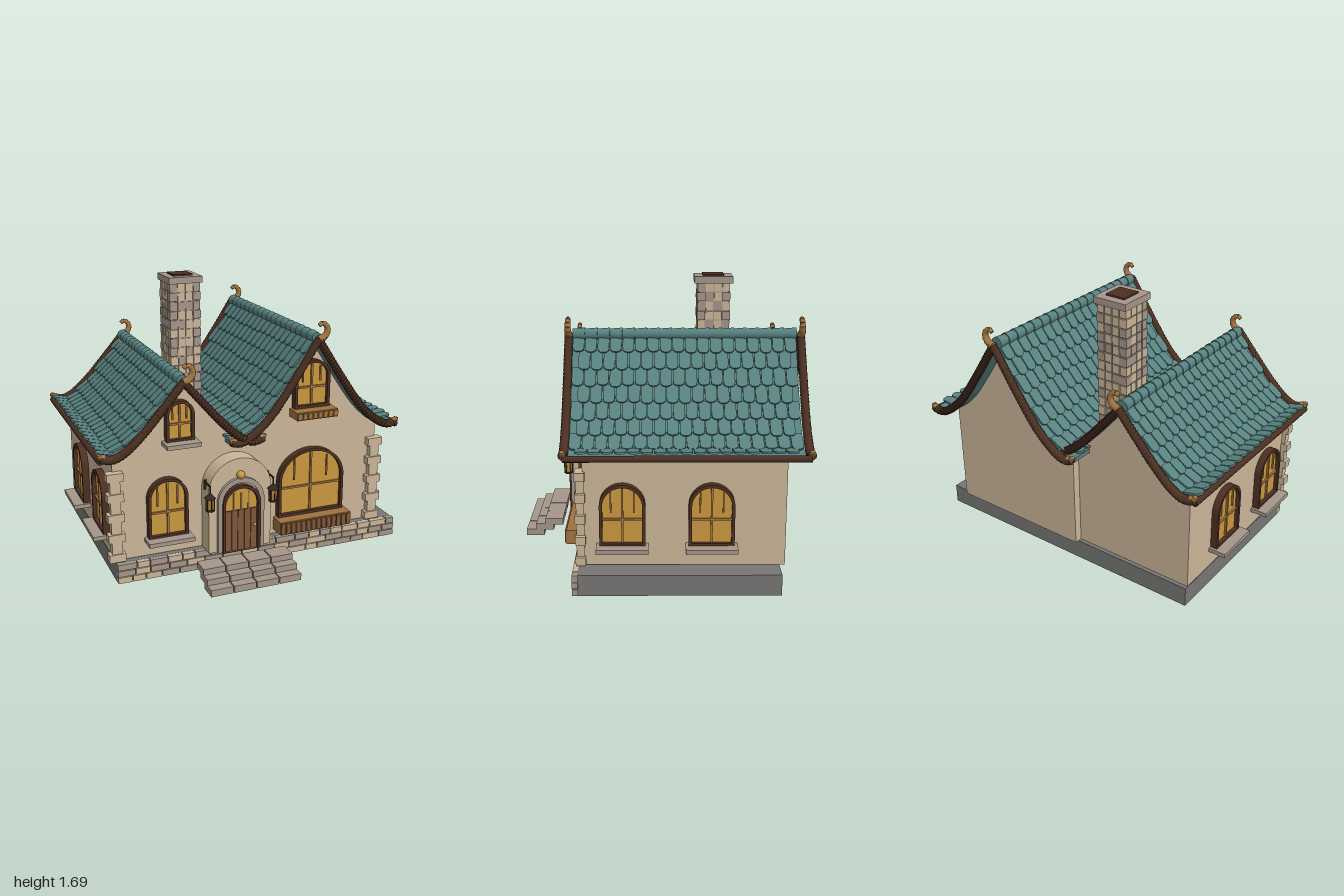
import * as THREE from 'three';
import { mergeGeometries } from 'three/addons/utils/BufferGeometryUtils.js';

const mat = (name, color) => new THREE.MeshStandardMaterial({ name, color });
const V = (x, y, z) => new THREE.Vector3(x, y, z);

export function createModel() {
  const M = {
    plaster: mat('plaster', 0xcbb699), stone: mat('stone', 0xa5968a), roof: mat('roofTeal', 0x588280),
    dark: mat('darkWood', 0x4c3022), wood: mat('doorWood', 0x80563a), tan: mat('tanWood', 0xa0733f),
    glass: mat('amberGlass', 0xca983e), slab: mat('slabGrey', 0x777675), iron: mat('iron', 0x352820),
  };
  const root = new THREE.Group();
  root.name = 'cottage';
  const add = (parent, name, geo, material, x = 0, y = 0, z = 0) => {
    const m = new THREE.Mesh(geo, material);
    m.name = name;
    m.position.set(x, y, z);
    parent.add(m);
    return m;
  };
  const box = (w, h, d, x = 0, y = 0, z = 0) => new THREE.BoxGeometry(w, h, d).translate(x, y, z);
  const extrude = (shape, depth) =>
    new THREE.ExtrudeGeometry(shape, { depth, bevelEnabled: false, curveSegments: 16 });
  let seed = 7;
  const rand = () => (seed = (seed * 16807) % 2147483647) / 2147483647;

  // Arched outline standing on y = b; a is the height of the curved top
  const arch = (w, h, a, b = 0, Type = THREE.Shape) => {
    const s = new Type();
    s.moveTo(-w / 2, b);
    s.lineTo(w / 2, b);
    s.lineTo(w / 2, h - a);
    s.absellipse(0, h - a, w / 2, a, 0, Math.PI, false);
    s.lineTo(-w / 2, b);
    return s;
  };
  const archRing = (w, h, a, t, depth, bottom = t) => {
    const s = arch(w, h, a);
    s.holes.push(arch(w - 2 * t, h - t, a - t, bottom, THREE.Path));
    return extrude(s, depth);
  };

  // Ringed rope of short tapered drums along a path
  const rope = (parent, name, curve, r0, r1, material) => {
    const n = Math.max(4, Math.round(curve.getLength() / 0.022));
    const p = curve.getSpacedPoints(n), parts = [];
    for (let i = 0; i < n; i++) {
      const r = r0 + (r1 - r0) * i / n, d = p[i + 1].clone().sub(p[i]);
      const g = new THREE.CylinderGeometry(r * 0.85, r, d.length() * 1.15, 10);
      g.applyQuaternion(new THREE.Quaternion().setFromUnitVectors(V(0, 1, 0), d.normalize()));
      const c = p[i].clone().lerp(p[i + 1], 0.5);
      parts.push(g.translate(c.x, c.y, c.z));
    }
    return add(parent, name, mergeGeometries(parts), material);
  };

  // Wings: wall, roof, ridge and rope trim
  const wings = [
    { name: 'leftWing', cx: -0.48, wall: 0.41, back: -0.67, roofBack: -0.775,
      prof: [[0, 1.215], [0.12, 1.075], [0.25, 0.93], [0.36, 0.835], [0.43, 0.805], [0.5, 0.82]], outer: -1 },
    { name: 'rightWing', cx: 0.372, wall: 0.473, back: -0.72, roofBack: -0.838,
      prof: [[0, 1.39], [0.17, 1.13], [0.31, 0.94], [0.43, 0.835], [0.5, 0.805], [0.56, 0.815]], outer: 1 },
  ];
  for (const w of wings) {
    const g = new THREE.Group();
    g.name = w.name;
    g.position.x = w.cx;
    root.add(g);
    const curve = (s, z) => new THREE.CatmullRomCurve3(w.prof.map(([d, y]) => V(s * d, y, z)));
    const pts = curve(1, 0).getPoints(30);

    // Gabled wall body
    const top = pts.filter(p => p.x < w.wall - 0.005).map(p => [p.x, p.y - 0.025]);
    top.push([w.wall, 0.775]);
    const s = new THREE.Shape();
    s.moveTo(-w.wall, 0.13);
    s.lineTo(w.wall, 0.13);
    [...top].reverse().forEach(([x, y]) => s.lineTo(x, y));
    top.slice(1).forEach(([x, y]) => s.lineTo(-x, y));
    add(g, 'walls', extrude(s, 0.44 - w.back), M.plaster, 0, 0, w.back);

    // Curved roof deck
    const z0 = w.roofBack + 0.03, z1 = 0.515, len = z1 - z0;
    const deck = new THREE.Shape();
    const line = [...[...pts].reverse().map(p => [-p.x, p.y]), ...pts.slice(1).map(p => [p.x, p.y])];
    line.forEach(([x, y], i) => (i ? deck.lineTo(x, y) : deck.moveTo(x, y)));
    [...line].reverse().forEach(([x, y]) => deck.lineTo(x, y - 0.025));
    add(g, 'roofDeck', extrude(deck, len), M.roof, 0, 0, z0);

    // Overlapping round-ended tiles
    const tiles = [], rows = w.outer > 0 ? 8 : 7, cols = 18, tw = len / cols;
    for (const side of [-1, 1]) {
      const c = curve(side, 0), L = c.getLength(), step = L / rows;
      for (let r = 0; r < rows; r++) {
        const u = r / rows, p = c.getPointAt(u);
        const t = c.getPointAt(Math.min(1, u + 1.1 / rows)).sub(p).normalize();
        const n = V(-t.y * side, t.x * side, 0);
        t.addScaledVector(n, 0.12).normalize();
        n.set(-t.y * side, t.x * side, 0);
        const basis = new THREE.Matrix4().makeBasis(t.clone().cross(n), t, n);
        const odd = r % 2;
        for (let i = 0; i < cols - odd; i++) {
          const hw = tw / 2 - 0.003, tl = Math.min(step * 1.22, L - u * L + 0.015) - rand() * 0.012;
          const sh = new THREE.Shape();
          sh.moveTo(-hw, 0);
          sh.lineTo(hw, 0);
          sh.lineTo(hw, tl - 0.03);
          sh.quadraticCurveTo(hw, tl, 0, tl);
          sh.quadraticCurveTo(-hw, tl, -hw, tl - 0.03);
          const geo = new THREE.ExtrudeGeometry(sh, { depth: 0.012, bevelEnabled: false, curveSegments: 3 });
          tiles.push(geo.applyMatrix4(basis).translate(p.x, p.y, z0 + (i + 0.5 + odd / 2) * tw));
        }
      }
    }
    add(g, 'roofTiles', mergeGeometries(tiles), M.roof);

    // Ridge caps
    const caps = [];
    for (let i = 0; i < cols; i++)
      caps.push(new THREE.CylinderGeometry(0.032, 0.038, tw, 14).rotateX(Math.PI / 2)
        .translate(0, w.prof[0][1] + 0.005, z0 + (i + 0.5) * tw));
    add(g, 'ridgeCaps', mergeGeometries(caps), M.roof);

    // Gable ropes, finials and eave beam
    const py = w.prof[0][1], ex = w.prof[5][0], ey = w.prof[5][1];
    for (const z of [0.54, w.roofBack]) {
      for (const side of [-1, 1]) {
        rope(g, 'gableTrim', curve(side, z), 0.025, 0.028, M.dark);
        const tip = new THREE.CatmullRomCurve3([V(side * (ex - 0.02), ey, z), V(side * ex, ey + 0.012, z), V(side * (ex + 0.005), ey + 0.025, z)]);
        rope(g, 'trimTip', tip, 0.026, 0.014, M.tan);
      }
      const hook = [[0, 0], [0.035, 0.015], [0.056, 0.05], [0.045, 0.085], [0.018, 0.098], [0, 0.085]];
      rope(g, 'finial', new THREE.CatmullRomCurve3(hook.map(([x, y]) => V(x, py + y, z))), 0.025, 0.013, M.tan);
    }
    add(g, 'eaveBeam', new THREE.CylinderGeometry(0.02, 0.02, 0.54 - w.roofBack, 8).rotateX(Math.PI / 2),
      M.dark, w.outer * ex, ey - 0.018, (0.54 + w.roofBack) / 2);
  }

  // Arched windows, with a stone sill or a slatted planter
  const windowAt = (x, y, z, ry, w, h, a, planter) => {
    const g = new THREE.Group();
    g.name = 'window';
    g.position.set(x, y, z);
    g.rotation.y = ry;
    root.add(g);
    const t = 0.018, bar = 0.012;
    add(g, 'frame', archRing(w, h, a, t, 0.045), M.dark);
    add(g, 'pane', extrude(arch(w - t, h - t / 2, a - t / 2, 0.005), 0.02), M.glass);
    add(g, 'glazingBars', mergeGeometries([
      box(bar, h - t, 0.012, 0, h / 2, 0.026), box(w - 2 * t, bar, 0.012, 0, h * 0.43, 0.026),
      ...[-1, 1].map(s => box(bar * 0.7, h * 0.32, 0.01, s * w * 0.25, h * 0.7, 0.025)),
    ]), M.tan);
    if (!planter) return add(g, 'sill', box(w + 0.035, 0.026, 0.11, 0, -0.008, 0.055), M.stone);
    add(g, 'planter', box(w + 0.04, planter, 0.11, 0, -planter / 2, 0.065), M.tan);
    const n = Math.round((w + 0.04) / 0.035), slats = [];
    for (let i = 0; i < n; i++)
      slats.push(box(0.028, planter - 0.012, 0.012, (i + 0.5 - n / 2) * (w + 0.04) / n, -planter / 2, 0.123));
    add(g, 'planterSlats', mergeGeometries(slats), planter > 0.06 ? M.wood : M.tan);
  };
  windowAt(-0.565, 0.245, 0.44, 0, 0.25, 0.375, 0.125);
  windowAt(-0.482, 0.84, 0.44, 0, 0.175, 0.25, 0.088);
  windowAt(0.37, 0.952, 0.44, 0, 0.235, 0.3, 0.1, 0.05);
  windowAt(0.38, 0.25, 0.44, 0, 0.45, 0.435, 0.2, 0.085);
  for (const z of [0.215, -0.293]) {
    windowAt(0.844, 0.26, z, Math.PI / 2, 0.262, 0.37, 0.131);
    windowAt(-0.889, 0.26, z, -Math.PI / 2, 0.262, 0.37, 0.131);
  }

  // Porch and arched door
  const porch = new THREE.Group();
  porch.name = 'porch';
  porch.position.set(-0.138, 0.13, 0);
  root.add(porch);
  add(porch, 'porchArch', extrude(arch(0.405, 0.588, 0.2), 0.12), M.plaster, 0, 0, 0.44);
  add(porch, 'doorSurround', archRing(0.3, 0.47, 0.15, 0.03, 0.022, 0.0005), M.stone, 0, 0, 0.56);
  add(porch, 'doorFrame', archRing(0.246, 0.425, 0.123, 0.018, 0.035, 0.0005), M.dark, 0, 0, 0.56);
  add(porch, 'doorLeaf', extrude(arch(0.225, 0.41, 0.112), 0.012), M.dark, 0, 0, 0.558);
  const planks = [];
  for (let i = -2; i <= 2; i++) planks.push(box(0.038, 0.262, 0.01, i * 0.0415, 0.132, 0.572));
  add(porch, 'doorPlanks', mergeGeometries(planks), M.wood);
  add(porch, 'doorWindow', extrude(arch(0.2, 0.4, 0.1, 0.268), 0.008), M.glass, 0, 0, 0.568);
  add(porch, 'doorBars', mergeGeometries([-1, 0, 1].map(i => box(0.01, 0.11, 0.008, i * 0.048, 0.32, 0.578))), M.tan);
  add(porch, 'doorKnob', new THREE.SphereGeometry(0.011, 12, 8), M.glass, 0.088, 0.155, 0.585);
  add(porch, 'archOrnament', new THREE.SphereGeometry(0.026, 16, 12), M.glass, 0, 0.485, 0.57);

  // Hanging lanterns
  for (const x of [-0.343, 0.065]) {
    const g = new THREE.Group();
    g.name = 'lantern';
    g.position.set(x, 0, 0.592);
    root.add(g);
    add(g, 'lamp', new THREE.CylinderGeometry(0.026, 0.021, 0.075, 6), M.glass, 0, 0.468, 0);
    const bars = [];
    for (let i = 0; i < 6; i++) {
      const q = i * Math.PI / 3;
      bars.push(box(0.006, 0.08, 0.006, Math.sin(q) * 0.025, 0.468, Math.cos(q) * 0.025));
    }
    add(g, 'lanternIron', mergeGeometries([...bars,
      new THREE.CylinderGeometry(0.008, 0.037, 0.03, 6).translate(0, 0.52, 0),
      new THREE.CylinderGeometry(0.028, 0.028, 0.01, 6).translate(0, 0.429, 0),
      box(0.007, 0.05, 0.007, 0, 0.555, 0), box(0.009, 0.009, 0.09, 0, 0.577, -0.042),
      box(0.016, 0.06, 0.012, 0, 0.56, -0.085)]), M.iron);
  }

  // Foundation slab and front stone courses
  add(root, 'foundation', box(1.87, 0.125, 1.16, 0.045, 0.0625, -0.11), M.slab);
  const light = [], grey = [];
  for (let r = 0; r < 3; r++) {
    let x = -0.893;
    while (x < 0.985) {
      let w = 0.075 + rand() * 0.06;
      if (x + w > 0.93) w = 0.99 - x;
      (rand() < 0.4 ? light : grey).push(box(w - 0.006, 0.037, 0.034, x + w / 2, 0.022 + r * 0.042, 0.483));
      x += w;
    }
  }
  add(root, 'foundationLightStones', mergeGeometries(light), M.plaster);
  add(root, 'foundationGreyStones', mergeGeometries(grey), M.stone);

  // Corner quoins
  const quoins = [];
  for (const x of [-0.884, 0.828])
    for (let i = 0; i < 9; i++) {
      const long = i % 2 === 0;
      quoins.push(box(long ? 0.1 : 0.062, i % 2 ? 0.074 : 0.05, long ? 0.058 : 0.046, x, 0.162 + i * 0.0635, 0.455));
    }
  add(root, 'cornerQuoins', mergeGeometries(quoins), M.plaster);

  // Front steps
  const steps = [];
  for (let r = 0; r < 3; r++)
    for (let i = 0; i < 4; i++)
      steps.push(box(0.138, 0.042, 0.115, -0.157 + (i - 1.5) * 0.145, 0.036 + r * 0.037, 0.812 - r * 0.062));
  add(root, 'frontSteps', mergeGeometries(steps), M.stone);

  // Chimney of small blocks
  const chimney = new THREE.Group();
  chimney.name = 'chimney';
  chimney.position.set(-0.192, 0, -0.347);
  root.add(chimney);
  add(chimney, 'chimneyCore', box(0.19, 0.85, 0.19, 0, 1.215, 0), M.stone);
  const pale = [], dull = [];
  for (let r = 0; r < 13; r++)
    for (let i = 0; i < 4; i++)
      for (let k = 0; k < 4; k++) {
        if (i % 3 && k % 3) continue;
        const corner = !(i % 3) && !(k % 3), out = corner && r % 2 ? 0.006 : 0;
        const b = box(0.046 + out, 0.054, 0.046 + out, (i - 1.5) * 0.053, 0.892 + r * 0.06, (k - 1.5) * 0.053);
        (rand() < (corner ? 0.3 : 0.72) ? pale : dull).push(b);
      }
  add(chimney, 'chimneyPaleBlocks', mergeGeometries(pale), M.plaster);
  add(chimney, 'chimneyGreyBlocks', mergeGeometries(dull), M.stone);
  add(chimney, 'chimneyCap', box(0.225, 0.042, 0.245, 0, 1.66, 0), M.stone);
  add(chimney, 'flue', box(0.13, 0.012, 0.135, 0, 1.685, 0), M.dark);
  return root;
}
